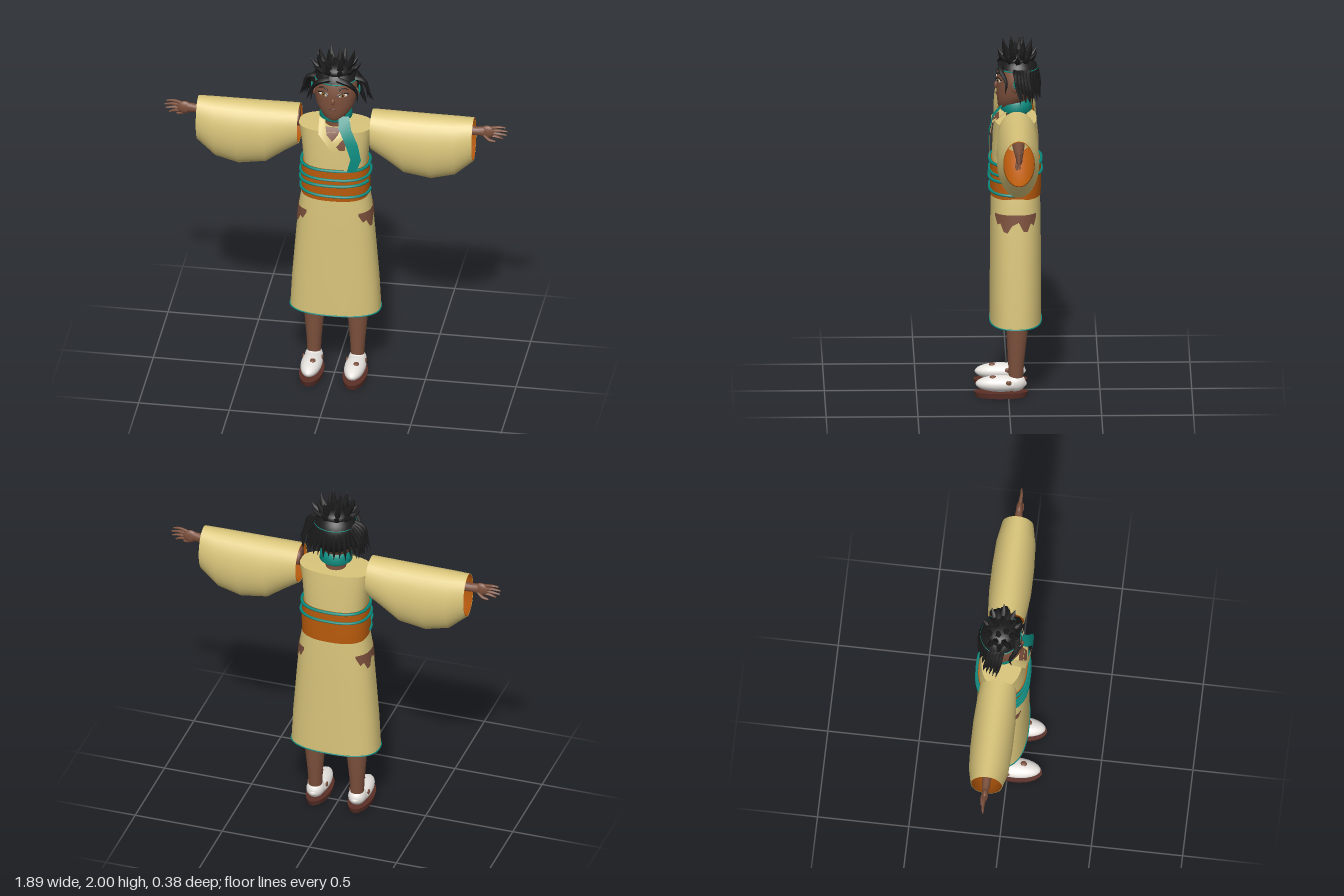
import * as THREE from 'three';
import { toCreasedNormals } from 'three/addons/utils/BufferGeometryUtils.js';

const V = (x, y, z) => new THREE.Vector3(x, y, z);
const mat = (name, color, side = THREE.FrontSide) => {
  const m = new THREE.MeshStandardMaterial({ color, side });
  m.name = name;
  return m;
};

// Closed cross-sections [y, rx, rz, cx, cz] joined along y; e < 1 squares the outline
function loft(sections, e = 1, n = 32) {
  const pos = [], idx = [];
  const pw = (v) => Math.sign(v) * Math.abs(v) ** e;
  sections.forEach(([y, rx, rz, cx = 0, cz = 0], j) => {
    for (let i = 0; i < n; i++) {
      const a = (i / n) * Math.PI * 2;
      pos.push(cx + rx * pw(Math.cos(a)), y, cz + rz * pw(Math.sin(a)));
      if (j === sections.length - 1) continue;
      const A = j * n + i, B = j * n + (i + 1) % n;
      idx.push(A, A + n, B, A + n, B + n, B);
    }
  });
  return build(pos, idx);
}

function build(pos, idx) {
  const g = new THREE.BufferGeometry();
  g.setAttribute('position', new THREE.Float32BufferAttribute(pos, 3));
  g.setIndex(idx);
  g.computeVertexNormals();
  return g;
}

// Open strip from rows of [left point, right point]
function ribbon(rows) {
  const pos = [], idx = [];
  rows.forEach(([l, r], i) => {
    pos.push(...l, ...r);
    const k = i * 2;
    if (i < rows.length - 1) idx.push(k, k + 1, k + 2, k + 1, k + 3, k + 2);
  });
  return build(pos, idx);
}

// Tube through points that narrows to the given share of its radius
function strand(points, r, end = 0.02, seg = 10, sides = 6) {
  const curve = new THREE.CatmullRomCurve3(points);
  const g = new THREE.TubeGeometry(curve, seg, r, sides);
  const p = g.attributes.position, v = V(0, 0, 0);
  for (let i = 0; i < p.count; i++) {
    const t = Math.floor(i / (sides + 1)) / seg, c = curve.getPointAt(t);
    v.fromBufferAttribute(p, i).sub(c).multiplyScalar(1 + (end - 1) * t * t).add(c);
    p.setXYZ(i, v.x, v.y, v.z);
  }
  g.computeVertexNormals();
  return g;
}

const ball = (sx, sy, sz) => new THREE.SphereGeometry(1, 24, 16).scale(sx, sy, sz);

export function createModel() {
  const D = THREE.DoubleSide;
  const cloth = mat('straw cloth', 0xd8c47a, D), skin = mat('skin', 0x7c503c, D);
  const teal = mat('teal trim', 0x0b8c80, D), orange = mat('orange sash', 0xb85a0c, D);
  const hair = mat('black hair', 0x1b1b1c, D), white = mat('white sock', 0xe8e4e0);
  const sole = mat('dark brown', 0x5a2f27), amber = mat('amber iris', 0xb07434);

  const model = new THREE.Group();
  const add = (name, geo, m, parent = model, pos = [0, 0, 0]) => {
    const o = new THREE.Mesh(geo, m);
    o.name = name;
    o.position.set(...pos);
    parent.add(o);
    return o;
  };
  const group = (name) => {
    const g = new THREE.Group();
    g.name = name;
    model.add(g);
    return g;
  };

  // Robe
  const C = -0.04;
  add('skirt', loft([[0.41, 0.248, 0.14, 0, C], [0.6, 0.238, 0.14, 0, C], [0.9, 0.214, 0.138, 0, C],
    [1.05, 0.2, 0.136, 0, C], [1.15, 0.184, 0.132, 0, C]], 0.8, 48), cloth);
  const top = loft([[1.3, 0.172, 0.128, 0, C], [1.45, 0.186, 0.125, 0, C], [1.55, 0.202, 0.115, 0, C],
    [1.552, 0, 0, 0, C]], 0.8, 48);
  add('bodice', toCreasedNormals(top, 0.8), cloth);

  // Loop of cord round the body; from and to are angles, front is PI / 2
  const cord = (name, y, rx, rz, r, from = 0, to = Math.PI * 2, tilt = 0) => {
    const full = to - from > 6.2, pts = [];
    const pw = (v) => Math.sign(v) * Math.abs(v) ** 0.8;
    for (let i = 0; i < (full ? 40 : 41); i++) {
      const a = from + (to - from) * i / 40;
      pts.push(V(rx * pw(Math.cos(a)), y + tilt * Math.cos(a), C + rz * pw(Math.sin(a))));
    }
    add(name, new THREE.TubeGeometry(new THREE.CatmullRomCurve3(pts, full), 80, r, 6, full), teal);
  };
  cord('hem', 0.411, 0.249, 0.141, 0.004);

  // Sash and its cords
  const sash = loft([[1.13, 0, 0, 0, C], [1.13, 0.186, 0.138, 0, C], [1.23, 0.189, 0.14, 0, C],
    [1.325, 0.182, 0.137, 0, C], [1.325, 0.16, 0.12, 0, C]], 0.8, 48);
  add('sash', toCreasedNormals(sash, 0.8), orange);
  cord('topCord', 1.322, 0.187, 0.141, 0.009);
  cord('upperCord', 1.265, 0.192, 0.143, 0.008);
  cord('middleCord', 1.228, 0.193, 0.145, 0.009, 0.3, Math.PI - 0.1, 0.004);
  cord('lowerCord', 1.162, 0.191, 0.143, 0.008, 0, Math.PI, -0.004);

  // Torn patches on both hips
  for (const s of [1, -1]) {
    const rows = [];
    const edge = [1.035, 0.99, 1.0, 0.955, 0.95, 0.99, 1.01, 0.96, 0.955, 1.0, 0.985, 1.035];
    edge.forEach((low, i) => {
      const a = 0.88 - 1.72 * i / 11;
      const pt = (y) => {
        const rx = 0.204 + (1.05 - y) * 0.093;
        return [s * rx * Math.cos(a) ** 0.8, y, C + 0.14 * Math.sign(Math.sin(a)) * Math.abs(Math.sin(a)) ** 0.8];
      };
      rows.push([pt(1.05), pt(low)]);
    });
    add('hipTear', ribbon(rows), skin);
  }

  // Neckline, crossed lapels, collar and hanging scarf
  add('neck', new THREE.CylinderGeometry(0.05, 0.06, 0.16, 20), skin, model, [0, 1.58, -0.045]);
  add('chest', ribbon([[[-0.07, 1.57, 0.05], [0.08, 1.57, 0.05]], [[-0.06, 1.54, 0.085], [0.08, 1.54, 0.085]],
    [[0.015, 1.45, 0.093], [0.07, 1.45, 0.093]]]), skin);
  const lapel = (rows, name, m) => add(name, ribbon(rows.map(([x, y, z, w]) => [[x, y, z], [x + w, y, z]])), m);
  lapel([[-0.085, 1.6, 0.01, 0.03], [-0.075, 1.54, 0.09, 0.045], [0.0, 1.44, 0.1, 0.05], [0.07, 1.33, 0.102, 0.05]], 'rightLapel', cloth);
  lapel([[0.06, 1.6, 0.01, 0.03], [0.03, 1.54, 0.087, 0.045], [-0.03, 1.46, 0.096, 0.045]], 'leftLapel', cloth);
  lapel([[-0.056, 1.6, 0.014, 0.008], [-0.032, 1.54, 0.092, 0.01], [0.018, 1.48, 0.099, 0.01]], 'lapelEdge', white);
  const collar = loft([[1.585, 0.07, 0.07], [1.6, 0.09, 0.085], [1.64, 0.088, 0.083], [1.66, 0.075, 0.07]]);
  add('collar', collar, teal, model, [0, 0, -0.045]);
  lapel([[0.025, 1.635, 0.035, 0.06], [0.035, 1.58, 0.085, 0.07], [0.075, 1.5, 0.108, 0.07],
    [0.105, 1.41, 0.112, 0.058], [0.085, 1.33, 0.107, 0.05]], 'scarfTail', teal);

  // Arms, sleeves and hands
  const cuts = [[0.2, 1.41, 0.1], [0.28, 1.355, 0.108], [0.38, 1.28, 0.115], [0.53, 1.255, 0.115],
    [0.66, 1.29, 0.108], [0.76, 1.38, 0.086]];
  const sleeve = (inset) => loft(cuts.map(([x, low, rz]) =>
    [x, (1.64 - low) / 2 - inset, rz - inset, -(1.64 + low) / 2])).rotateZ(-Math.PI / 2);
  for (const s of [1, -1]) {
    const arm = group(s > 0 ? 'leftArm' : 'rightArm');
    arm.position.z = -0.045;
    if (s < 0) arm.rotation.y = Math.PI;
    add('sleeve', sleeve(0), cloth, arm);
    add('sleeveLining', sleeve(0.004), orange, arm);
    add('arm', loft([[0.2, 0, 0, -1.565], [0.2, 0.05, 0.05, -1.565], [0.5, 0.038, 0.038, -1.565],
      [0.78, 0.025, 0.022, -1.565], [0.82, 0.03, 0.018, -1.565]], 1, 16).rotateZ(-Math.PI / 2), skin, arm);
    add('palm', ball(0.042, 0.037, 0.018), skin, arm, [0.835, 1.565, 0]);
    for (let i = 0; i < 4; i++) {
      const k = i - 1.5, tip = 0.945 - 0.008 * Math.abs(k - 0.3) ** 2;
      add('finger', strand([V(0.85, 1.566 + k * 0.015, 0), V(0.9, 1.568 + k * 0.021, 0.003), V(tip, 1.563 + k * 0.023, 0)],
        0.0095, 0.45), skin, arm);
    }
    add('thumb', strand([V(0.815, 1.55, 0.005), V(0.845, 1.523, 0.014), V(0.88, 1.515, 0.014)], 0.011, 0.5), skin, arm);
  }

  // Legs and shoes
  for (const s of [1, -1]) {
    const leg = group(s > 0 ? 'leftLeg' : 'rightLeg');
    leg.position.x = s * 0.12;
    add('leg', loft([[0.09, 0.036, 0.038, 0, -0.04], [0.2, 0.042, 0.044, 0, -0.042], [0.4, 0.06, 0.06, 0, -0.048],
      [0.75, 0.066, 0.066, 0, -0.045]], 1, 20), skin, leg);
    add('sock', ball(0.058, 0.045, 0.14), white, leg, [0, 0.072, 0.04]);
    add('ankleCuff', ball(0.05, 0.05, 0.06), white, leg, [0, 0.078, -0.035]);
    add('sole', new THREE.CylinderGeometry(1, 0.93, 0.03, 32).scale(0.066, 1, 0.148), sole, leg, [0, 0.015, 0.04]);
    add('toePatch', ball(0.016, 0.008, 0.018), skin, leg, [0.012, 0.112, 0.085]);
    for (const k of [1, -1]) add('sidePatch', ball(0.006, 0.014, 0.016), skin, leg, [k * 0.052, 0.088, 0]);
  }

  // Head and face
  add('head', loft([[1.602, 0, 0, 0, 0.01], [1.605, 0.03, 0.03, 0, 0.01], [1.625, 0.06, 0.056, 0, 0], [1.66, 0.09, 0.085, 0, -0.025],
    [1.7, 0.108, 0.1, 0, -0.036], [1.76, 0.117, 0.108, 0, -0.045], [1.82, 0.115, 0.108, 0, -0.05],
    [1.87, 0.085, 0.08, 0, -0.05], [1.9, 0, 0, 0, -0.05]]), skin);
  add('nose', ball(0.011, 0.02, 0.012), skin, model, [0, 1.735, 0.064]);
  add('mouth', strand([V(-0.02, 1.687, 0.062), V(0, 1.69, 0.066), V(0.02, 1.687, 0.062)], 0.004, 0.6), sole);
  for (const s of [1, -1]) {
    const eye = group(s > 0 ? 'leftEye' : 'rightEye');
    eye.position.set(s * 0.052, 1.776, 0.053);
    eye.rotation.y = s * 0.4;
    add('eyeWhite', ball(0.029, 0.013, 0.004), white, eye);
    add('iris', ball(0.0125, 0.0125, 0.003), amber, eye, [0, 0, 0.003]);
    add('pupil', ball(0.005, 0.007, 0.002), hair, eye, [0, 0, 0.005]);
    add('lashLine', strand([V(-s * 0.03, -0.003, 0.002), V(0, 0.014, 0.004), V(s * 0.034, 0.006, 0)], 0.0035, 1), hair, eye);
    add('brow', strand([V(-s * 0.025, 0.03, 0), V(0.004 * s, 0.042, -0.001), V(s * 0.035, 0.03, -0.004)], 0.004, 0.4), hair, eye);
    add('ear', ball(0.012, 0.03, 0.02), skin, model, [s * 0.117, 1.75, -0.035]);
    add('earring', ball(0.006, 0.026, 0.008), teal, model, [s * 0.131, 1.775, -0.035]);
  }

  // Hair cap, back shell and headband
  const shell = (phi, sweep, theta) => new THREE.SphereGeometry(1, 32, 16, phi, sweep, 0, theta).scale(0.127, 0.13, 0.118);
  add('hairCap', shell(0, Math.PI * 2, Math.PI * 0.36), hair, model, [0, 1.785, -0.052]);
  add('hairBack', shell(Math.PI * 0.96, Math.PI * 1.08, Math.PI * 0.8), hair, model, [0, 1.785, -0.055]);
  add('headband', new THREE.TorusGeometry(1, 0.03, 6, 40).rotateX(Math.PI / 2).scale(0.116, 0.12, 0.109), teal, model, [0, 1.836, -0.052]);

  // Crown of upright spikes
  add('topKnot', ball(0.088, 0.045, 0.085), hair, model, [0, 1.885, -0.05]);
  const crown = (n, r0, r1, y1, w, turn) => {
    for (let i = 0; i < n; i++) {
      const a = (i + turn) / n * Math.PI * 2, c = Math.cos(a), d = Math.sin(a);
      const at = (r, y) => V(r * c, y, -0.05 + 0.8 * r * d);
      add('spike', strand([at(r0, 1.87), at((r0 + r1) * 0.58, (1.9 + y1) / 2 - 0.012), at(r1, y1)], w, 0.02, 8, 5), hair);
    }
  };
  crown(10, 0.06, 0.14, 1.935, 0.02, 0);
  crown(8, 0.05, 0.105, 1.988, 0.022, 0.5);
  crown(4, 0.025, 0.045, 1.997, 0.022, 0.25);

  // Loose locks: fringe, flared sides and nape
  for (const s of [1, -1]) {
    add('fringe', strand([V(s * 0.02, 1.865, 0.04), V(s * 0.085, 1.84, 0.042), V(s * 0.122, 1.78, 0.012), V(s * 0.128, 1.71, 0.02)], 0.016), hair);
    for (let i = 0; i < 5; i++) {
      const z = -0.035 - i * 0.018;
      add('sideLock', strand([V(s * 0.1, 1.84, z), V(s * (0.155 - i * 0.003), 1.825 - i * 0.012, z - 0.005),
        V(s * (0.178 - i * 0.006), 1.76, z - 0.012), V(s * (0.205 - i * 0.011), 1.695 - i * 0.006, z - 0.025)], 0.014), hair);
    }
  }
  for (let i = 0; i < 15; i++) {
    const a = Math.PI * (1.02 + 0.96 * i / 14), c = Math.cos(a), d = Math.sin(a);
    const at = (r, y) => V(r * c * 1.08, y, -0.055 + r * d * 0.9);
    add('napeLock', strand([at(0.11, 1.82), at(0.126, 1.75), at(0.13 + 0.025 * Math.abs(c), 1.665 + (i % 2) * 0.012)], 0.016), hair);
  }
  return model;
}
